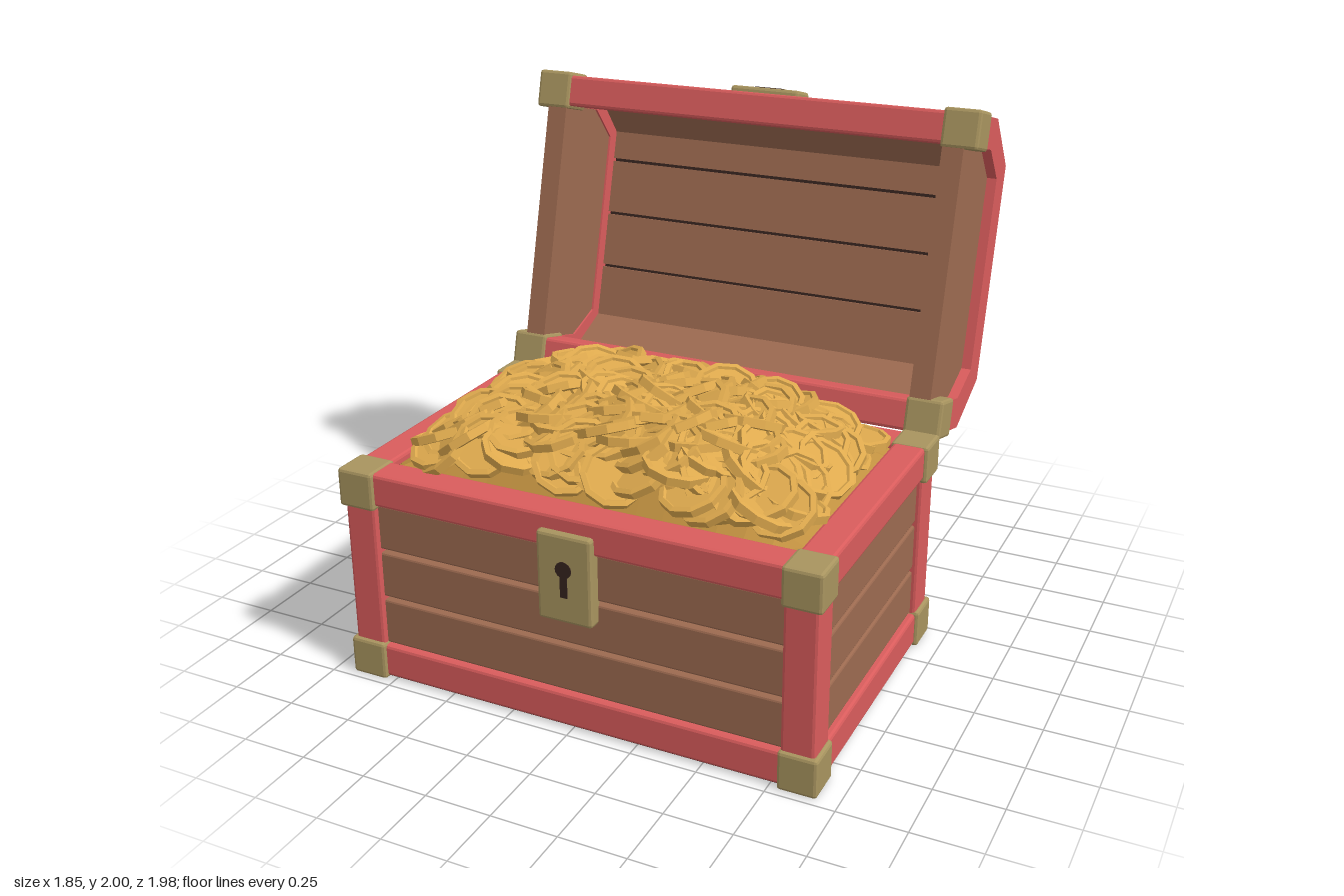
import * as THREE from 'three';
import { mergeGeometries } from 'three/addons/utils/BufferGeometryUtils.js';
import { RoundedBoxGeometry } from 'three/addons/geometries/RoundedBoxGeometry.js';

const mat = (name, color) => Object.assign(new THREE.MeshStandardMaterial({ color }), { name });
const M = {
  red: mat('red trim', 0xd95c5c),
  wood: mat('brown wood', 0x9c6a50),
  dark: mat('dark wood', 0x35231e),
  brass: mat('brass', 0xa8945f),
  gold: mat('gold', 0xdfaa4e),
  mound: mat('deep gold', 0xc09040),
};

// Faceted normals
function facet(g) {
  const out = g.index ? g.toNonIndexed() : g;
  out.computeVertexNormals();
  return out;
}

function add(parent, name, geo, material) {
  const mesh = new THREE.Mesh(geo, material);
  mesh.name = name;
  parent.add(mesh);
  return mesh;
}

// Box given by its extents, with a small chamfer when bevel > 0
function block(parent, name, material, [x0, x1], [y0, y1], [z0, z1], bevel = 0.012) {
  const s = [x1 - x0, y1 - y0, z1 - z0];
  const g = bevel ? facet(new RoundedBoxGeometry(...s, 1, bevel)) : new THREE.BoxGeometry(...s);
  g.translate((x0 + x1) / 2, (y0 + y1) / 2, (z0 + z1) / 2);
  return add(parent, name, g, material);
}

// Lid cross-section given as [along, depth] points, extruded between x0 and x1
function section(parent, name, material, pts, x0, x1) {
  const shape = new THREE.Shape(pts.map(([u, v]) => new THREE.Vector2(v, u)));
  const g = new THREE.ExtrudeGeometry(shape, { depth: x1 - x0, bevelEnabled: false });
  g.translate(0, 0, x0).rotateY(Math.PI / 2);
  return add(parent, name, g, material);
}

const ZC = 0.367; // middle of the base in depth
const span = (s, a, b) => (s > 0 ? [a, b] : [-b, -a]);
const zspan = (s, a, b) => span(s, a, b).map((v) => v + ZC);

function buildBase() {
  const base = new THREE.Group();
  base.name = 'base';
  block(base, 'bottomPanel', M.dark, [-0.9, 0.9], [0.006, 0.04], [ZC - 0.58, ZC + 0.58], 0);

  for (const s of [-1, 1]) {
    // dark liner seen through the plank gaps
    block(base, 'linerLong', M.dark, [-0.85, 0.85], [0.04, 0.8], zspan(s, 0.462, 0.535), 0);
    block(base, 'linerEnd', M.dark, span(s, 0.785, 0.855), [0.04, 0.8], [ZC - 0.53, ZC + 0.53], 0);
    // planks
    for (let i = 0; i < 3; i++) {
      const y = [0.14 + i * 0.193, 0.14 + i * 0.193 + 0.178];
      block(base, 'plankLong', M.wood, [-0.8, 0.8], y, zspan(s, 0.5, 0.57), 0.008);
      block(base, 'plankEnd', M.wood, span(s, 0.82, 0.888), y, [ZC - 0.48, ZC + 0.48], 0.008);
    }
    // rails
    for (const y of [[0.01, 0.138], [0.705, 0.83]]) {
      block(base, 'railLong', M.red, [-0.8, 0.8], y, zspan(s, 0.467, 0.592));
      block(base, 'railEnd', M.red, span(s, 0.788, 0.91), y, [ZC - 0.5, ZC + 0.5]);
    }
    // posts and brass corners
    for (const t of [-1, 1]) {
      block(base, 'post', M.red, span(s, 0.785, 0.91), [0.08, 0.77], zspan(t, 0.462, 0.592));
      for (const y of [[0, 0.148], [0.688, 0.835]]) {
        block(base, 'cornerCap', M.brass, span(s, 0.78, 0.925), y, zspan(t, 0.46, 0.607));
      }
    }
    block(base, 'hinge', M.brass, span(s, 0.44, 0.6), [0.65, 0.8], [-0.245, -0.2], 0.008);
  }

  // lock plate with keyhole
  block(base, 'lockPlate', M.brass, [-0.105, 0.105], [0.44, 0.775], [0.92, 0.986]);
  const hole = new THREE.CylinderGeometry(0.031, 0.031, 0.008, 16);
  hole.rotateX(Math.PI / 2).translate(0, 0.645, 0.985);
  add(base, 'keyholeRound', hole, M.dark);
  block(base, 'keyholeSlot', M.dark, [-0.014, 0.014], [0.54, 0.645], [0.981, 0.9885], 0);
  return base;
}

function buildLid() {
  const lid = new THREE.Group();
  lid.name = 'lid';
  lid.position.set(0, 0.815, -0.22);
  lid.rotation.x = -0.256;

  const band = [
    [0.015, 0.03], [0.015, 0.3], [0.185, 0.522], [1.04, 0.522], [1.21, 0.3], [1.21, 0.03],
    [1.09, 0.03], [1.09, 0.255], [0.985, 0.403], [0.235, 0.403], [0.135, 0.255], [0.135, 0.03],
  ];
  const panel = [[0.04, 0.005], [0.04, 0.29], [0.2, 0.5], [1.025, 0.5], [1.185, 0.29], [1.185, 0.005]];
  for (const s of [-1, 1]) {
    section(lid, 'endBand', M.red, band, ...span(s, 0.782, 0.91));
    section(lid, 'endPanel', M.wood, panel, ...span(s, 0.79, 0.872));
    for (const u of [[0, 0.148], [1.077, 1.225]]) {
      block(lid, 'lidCornerCap', M.brass, span(s, 0.78, 0.925), u, [-0.15, 0]);
    }
  }
  for (const u of [[0.013, 0.135], [1.09, 1.212]]) {
    block(lid, 'lidRail', M.red, [-0.8, 0.8], u, [-0.14, -0.01]);
  }

  // shell boards: walls, slopes and four top planks
  const W = 0.79;
  for (const m of [(u) => u, (u) => 1.225 - u]) {
    const mirror = (pts) => pts.map(([u, v]) => [m(u), v]);
    section(lid, 'lidWall', M.wood, mirror([[0.03, 0.1], [0.03, 0.295], [0.08, 0.28], [0.08, 0.1]]), -W, W);
    section(lid, 'lidSlope', M.wood, mirror([[0.03, 0.295], [0.193, 0.507], [0.215, 0.455], [0.08, 0.28]]), -W, W);
  }
  const cuts = [0.193, 0.43, 0.66, 0.89, 1.032];
  for (let i = 0; i < 4; i++) {
    const a = cuts[i] + (i ? 0.006 : 0), b = cuts[i + 1] - (i < 3 ? 0.006 : 0);
    const pts = [[a, 0.507], [b, 0.507], [i < 3 ? b : 1.01, 0.455], [i ? a : 0.215, 0.455]];
    section(lid, 'lidPlank', M.wood, pts, -W, W);
  }
  block(lid, 'lidLiner', M.dark, [-W, W], [0.22, 1.0], [-0.49, -0.475], 0);

  // clasp plate with slot
  block(lid, 'claspPlate', M.brass, [-0.145, 0.145], [1.185, 1.24], [-0.288, -0.163]);
  block(lid, 'claspSlot', M.dark, [-0.06, 0.06], [1.236, 1.2435], [-0.245, -0.208], 0);
  return lid;
}

function buildTreasure() {
  const treasure = new THREE.Group();
  treasure.name = 'treasure';
  const height = (x, z) => {
    const a = Math.min(1, Math.abs(x) / 0.79), b = Math.min(1, Math.abs(z - ZC) / 0.48);
    return 0.8 + 0.23 * (1 - a ** 3) * (1 - b ** 4);
  };

  // mound under the coins
  const mound = new THREE.PlaneGeometry(1.57, 0.95, 16, 12);
  mound.rotateX(-Math.PI / 2).translate(0, 0, ZC);
  const p = mound.attributes.position;
  for (let i = 0; i < p.count; i++) p.setY(i, height(p.getX(i), p.getZ(i)));
  add(treasure, 'mound', facet(mound), M.mound);

  // coins with raised rims, scattered over the mound
  let seed = 7;
  const rnd = () => (seed = (seed * 16807) % 2147483647) / 2147483647;
  const r = 0.125;
  const profile = [[0, -0.009], [r * 0.8, -0.009], [r * 0.85, -0.018], [r, -0.015],
    [r, 0.015], [r * 0.85, 0.018], [r * 0.8, 0.009], [0, 0.009]];
  const coin = facet(new THREE.LatheGeometry(profile.map(([x, y]) => new THREE.Vector2(x, y)), 10));
  const coins = [];
  const o = new THREE.Object3D(), up = new THREE.Vector3(0, 1, 0), n = new THREE.Vector3();
  const NX = 18, NZ = 12;
  for (let i = 0; i < NX; i++) {
    for (let j = 0; j < NZ; j++) {
      const x = ((i + rnd()) / NX - 0.5) * 1.38;
      const z = ZC + ((j + rnd()) / NZ - 0.5) * 0.8;
      const e = 0.04;
      n.set(
        (height(x - e, z) - height(x + e, z)) / (2 * e) + (rnd() - 0.5) * 1.1,
        1,
        (height(x, z - e) - height(x, z + e)) / (2 * e) * 0.7 + (rnd() - 0.5) * 1.1,
      ).normalize();
      o.position.set(x, height(x, z) + rnd() * 0.025, z);
      o.quaternion.setFromUnitVectors(up, n);
      o.rotateY(rnd() * 6.28);
      o.updateMatrix();
      coins.push(coin.clone().applyMatrix4(o.matrix));
    }
  }
  add(treasure, 'coins', mergeGeometries(coins), M.gold);
  return treasure;
}

export function createModel() {
  const chest = new THREE.Group();
  chest.name = 'treasureChest';
  chest.add(buildBase(), buildLid(), buildTreasure());
  return chest;
}
